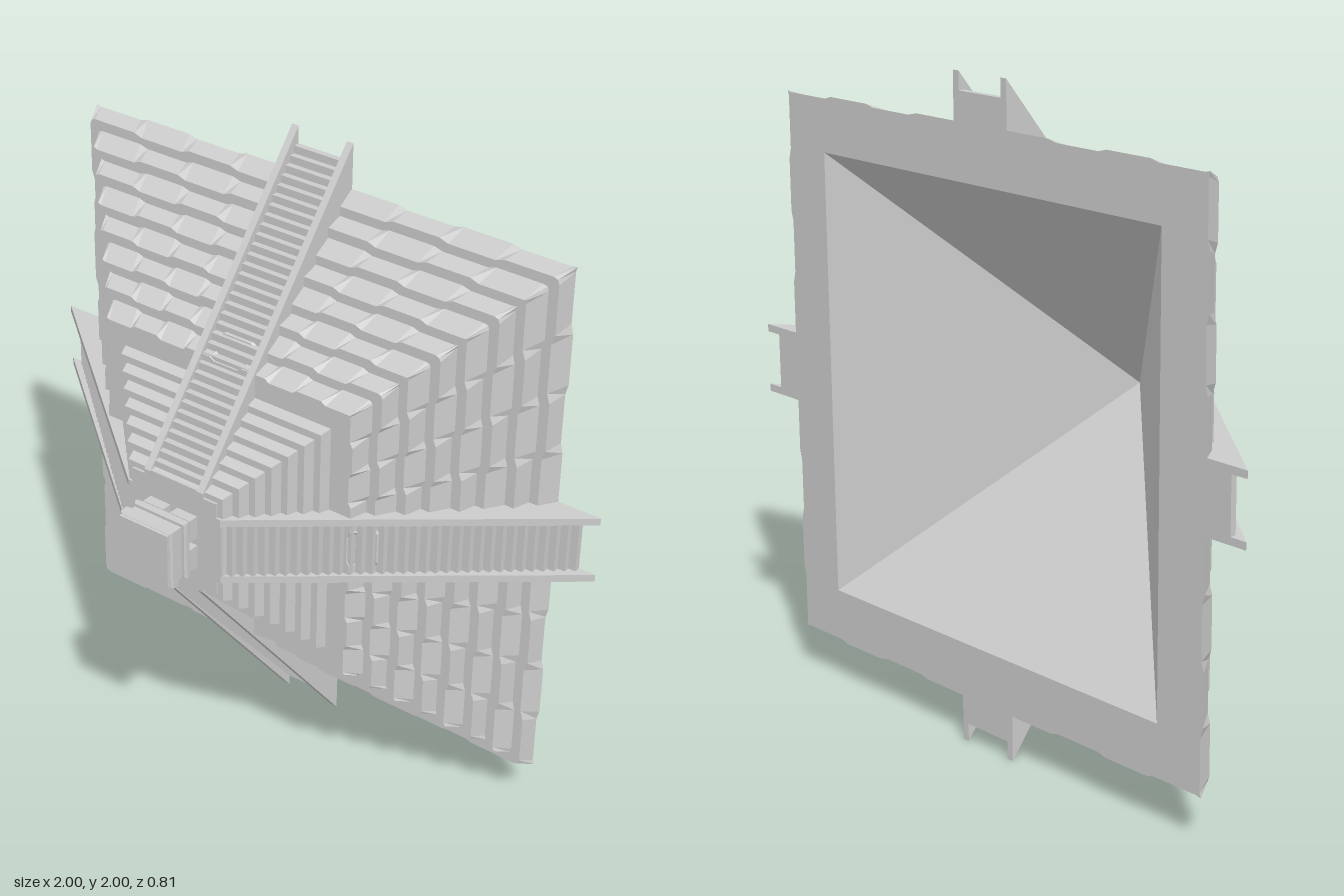
import * as THREE from 'three';

const mat = new THREE.MeshStandardMaterial({ color: 0xcccccc, flatShading: true, side: THREE.DoubleSide });

const LOWER = 8, LOWER_H = 0.055, UPPER = 7, UPPER_H = 0.0325;
const TERRACE_Y = LOWER * LOWER_H, TOP_Y = 0.675;
const HOLLOW = 0.69, HOLLOW_Y = 0.63;

function add(parent, geometry, name, x = 0, y = 0, z = 0) {
  const mesh = new THREE.Mesh(geometry, mat);
  mesh.name = name;
  mesh.position.set(x, y, z);
  parent.add(mesh);
  return mesh;
}

// Square outline whose sides are cut into blocks that step in and out
function ring(half, y, blocks = 9, amp = 0, phase = 0) {
  const points = [];
  for (let side = 0; side < 4; side++) {
    const put = (u, out) => {
      let x = u * half, z = half + out;
      for (let k = 0; k < side; k++) [x, z] = [z, -x];
      points.push([x, y, z]);
    };
    put(-1, 0);
    for (let i = 0; i < blocks; i++) {
      const out = (i + phase) % 2 ? amp : -amp;
      put(-1 + 2 * (i + 0.08) / blocks, out);
      put(-1 + 2 * (i + 0.92) / blocks, out);
    }
  }
  return points;
}

// Skin between successive outlines
function loft(rings) {
  const pos = [];
  for (let r = 0; r + 1 < rings.length; r++) {
    const lo = rings[r], hi = rings[r + 1], n = lo.length;
    for (let i = 0; i < n; i++) {
      const j = (i + 1) % n;
      pos.push(...lo[i], ...lo[j], ...hi[j], ...lo[i], ...hi[j], ...hi[i]);
    }
  }
  const g = new THREE.BufferGeometry();
  g.setAttribute('position', new THREE.Float32BufferAttribute(pos, 3));
  g.computeVertexNormals();
  return g;
}

// Side profile (distance from axis, height) given a width
function slab(points, width, offset) {
  const shape = new THREE.Shape(points.map(([r, y]) => new THREE.Vector2(r, y)));
  return new THREE.ExtrudeGeometry(shape, { depth: width, bevelEnabled: false }).translate(0, 0, offset);
}

function stairway() {
  const group = new THREE.Group();
  const steps = 34, footR = 0.945, headR = 0.15;
  const profile = [[0.1, TOP_Y - 0.02], [0.72, 0]];
  for (let i = 0; i < steps; i++) {
    const r = footR + (headR - footR) * i / steps;
    profile.push([r, TOP_Y * i / steps], [r, TOP_Y * (i + 1) / steps]);
  }
  profile.push([0.1, TOP_Y]);
  add(group, slab(profile, 0.17, -0.085), 'steps');
  const rail = [[0.72, 0], [1, 0], [0.17, TOP_Y], [0.1, TOP_Y], [0.1, TOP_Y - 0.02]];
  for (const offset of [-0.108, 0.085]) add(group, slab(rail, 0.023, offset), 'stairRail');
  return group;
}

export function createModel() {
  const model = new THREE.Group();
  model.name = 'steppedPyramid';
  const body = new THREE.Group();
  body.name = 'pyramidBody';
  model.add(body);

  // Lower tiers of rough blocks; the first one carries the hollow underside
  for (let i = 0; i < LOWER; i++) {
    const half = 0.855 - i * 0.055, y = i * LOWER_H, top = y + LOWER_H;
    const next = i < LOWER - 1 ? half - 0.075 : 0.34;
    const rings = [
      ring(half, y, 9, 0.004, i),
      ring(half - 0.025, top, 9, 0.005, i + 1),
      ring(next, top),
    ];
    if (i === 0) rings.unshift(ring(0, HOLLOW_Y), ring(HOLLOW, 0));
    add(body, loft(rings), 'lowerTier');
  }

  // Upper tiers, smaller and plain
  for (let i = 0; i < UPPER; i++) {
    const half = 0.375 - i * 0.032, y = TERRACE_Y + i * UPPER_H, top = y + UPPER_H;
    add(body, loft([
      ring(half, y, 1), ring(half - 0.01, top, 1), ring(half - 0.05, top, 1),
    ]), 'upperTier');
  }

  // Four stairways
  for (let k = 0; k < 4; k++) {
    const stairs = stairway();
    stairs.name = 'stairway';
    stairs.rotation.y = k * Math.PI / 2;
    body.add(stairs);
  }

  // Summit platform
  add(body, new THREE.BoxGeometry(0.31, 0.045, 0.31), 'summitPlatform', 0, TOP_Y - 0.0225, 0);

  // Shrine: four corner piers leave a doorway on each side
  const shrine = new THREE.Group();
  shrine.name = 'shrine';
  body.add(shrine);
  for (const sx of [-1, 1]) for (const sz of [-1, 1]) {
    add(shrine, new THREE.BoxGeometry(0.073, 0.033, 0.073), 'doorPier', sx * 0.0495, TOP_Y + 0.0165, sz * 0.0495);
  }

  // Shrine walls, cornice and roof slab: half width, bottom, top
  const layers = [
    ['lintel', 0.086, 0.708, 0.718], ['cornice', 0.095, 0.718, 0.739],
    ['upperWall', 0.086, 0.739, 0.763], ['roofEdge', 0.095, 0.763, 0.8],
  ];
  for (const [name, half, y0, y1] of layers) {
    const c = Math.min(0.006, (y1 - y0) / 4);
    add(shrine, loft([
      ring(0, y0, 1), ring(half - c, y0, 1), ring(half, y0 + c, 1),
      ring(half, y1 - c, 1), ring(half - c, y1, 1), ring(0, y1, 1),
    ]), name);
  }
  add(shrine, new THREE.BoxGeometry(0.176, 0.012, 0.176), 'roofCap', 0, 0.804, 0);

  // The pyramid points forward
  body.rotation.x = Math.PI / 2;
  body.position.set(0, 1, -0.405);
  return model;
}
